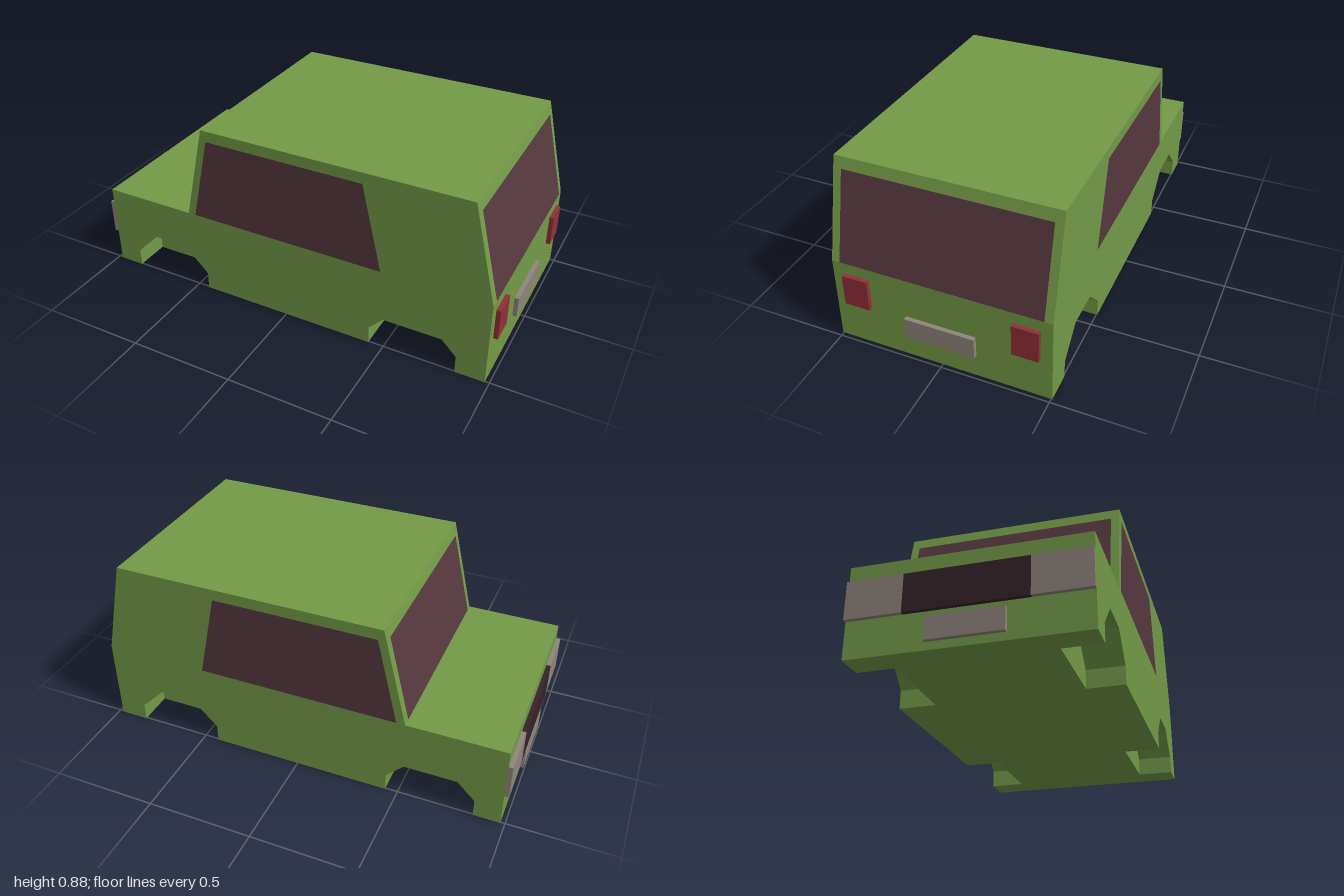
import * as THREE from 'three';
import { mergeGeometries } from 'three/addons/utils/BufferGeometryUtils.js';

const W = 0.505;      // half width of the body
const WELL = 0.335;   // z of the inner wall of the wheel wells
const material = (color) => new THREE.MeshStandardMaterial({ color, flatShading: true });
const shape = (pts) => new THREE.Shape(pts.map(([x, y]) => new THREE.Vector2(x, y)));

function fromPositions(pos) {
  const g = new THREE.BufferGeometry();
  g.setAttribute('position', new THREE.Float32BufferAttribute(pos, 3));
  g.computeVertexNormals();
  return g;
}

// Flat face from an outline, reduced to bare positions so that it can be merged
function flat(pts, z = 0) {
  const g = new THREE.ShapeGeometry(shape(pts)).toNonIndexed().translate(0, 0, z);
  g.deleteAttribute('uv');
  return g;
}

// Wall following an xy line from z0 to z1
function strip(pts, z0, z1) {
  const pos = [];
  for (let i = 0; i < pts.length - 1; i++) {
    const a = pts[i], b = pts[i + 1];
    pos.push(...a, z0, ...b, z0, ...b, z1, ...a, z0, ...b, z1, ...a, z1);
  }
  return fromPositions(pos);
}

// Copy mirrored in z, with the corner order restored
function mirrorZ(g) {
  const p = g.attributes.position, pos = [];
  for (let i = 0; i < p.count; i += 3)
    for (const j of [i, i + 2, i + 1]) pos.push(p.getX(j), p.getY(j), -p.getZ(j));
  return fromPositions(pos);
}

// Four-cornered pane
function quad(a, b, c, d) {
  return fromPositions([...a, ...b, ...c, ...a, ...c, ...d]);
}

export function createModel() {
  const car = new THREE.Group();
  car.name = 'car';
  const paint = material(0x739a47), glass = material(0x56383f), red = material(0x922f37);
  const grey = material(0x8f857b), dark = material(0x35222a);
  glass.side = THREE.DoubleSide;

  const add = (name, geometry, mat) => {
    const mesh = new THREE.Mesh(geometry, mat);
    mesh.name = name;
    car.add(mesh);
    return mesh;
  };

  // Body shell: one half, then mirrored
  const outline = [[0.98, 0], [0.98, 0.41], [0.87, 0.875], [-0.41, 0.875],
    [-0.52, 0.41], [-0.98, 0.41], [-0.98, 0]];
  const arches = [-0.648, 0.635].map((c) => [[-0.207, 0], [-0.207, 0.085], [-0.088, 0.205],
    [0.088, 0.205], [0.207, 0.085], [0.207, 0]].map(([x, y]) => [c + x, y]));

  const floor = [[-0.98, 0], [0.98, 0], [0.98, W]];
  for (const arch of [arches[1], arches[0]]) {
    const x0 = arch[0][0], x1 = arch[5][0];
    floor.push([x1, W], [x1, WELL], [x0, WELL], [x0, W]);
  }
  floor.push([-0.98, W]);

  const half = [
    flat([...outline, ...arches[0], ...arches[1]], W),
    strip(outline, 0, W),
    flat(floor).rotateX(Math.PI / 2),
  ];
  for (const arch of arches) half.push(strip(arch, WELL, W), flat(arch, WELL));
  add('body', mergeGeometries([...half, ...half.map(mirrorZ)]), paint);

  // Side windows
  const e = 0.002, gz = 0.467;
  const sidePane = flat([[-0.48, 0.412], [0.477, 0.412], [0.385, 0.823], [-0.385, 0.823]], W + e);
  add('leftSideWindow', sidePane, glass);
  add('rightSideWindow', mirrorZ(sidePane), glass);

  // Windscreen and rear window lie on the sloping ends of the cabin
  const low = 0.412, high = 0.823;
  const slope = (y) => (y - 0.41) * 0.11 / 0.465;
  const xf = (y) => -0.52 + slope(y) - e, xr = (y) => 0.98 - slope(y) + e;
  add('windscreen', quad([xf(low), low, -gz], [xf(low), low, gz],
    [xf(high), high, gz], [xf(high), high, -gz]), glass);
  add('rearWindow', quad([xr(low), low, gz], [xr(low), low, -gz],
    [xr(high), high, -gz], [xr(high), high, gz]), glass);

  // Raised blocks on both ends: x side, y range, z range
  const block = (name, side, y0, y1, z0, z1, mat) =>
    add(name, new THREE.BoxGeometry(0.02, y1 - y0, z1 - z0), mat)
      .position.set(side * 0.99, (y0 + y1) / 2, (z0 + z1) / 2);

  block('grille', -1, 0.165, 0.335, -0.26, 0.26, dark);
  block('headlightA', -1, 0.165, 0.335, 0.26, W, grey);
  block('headlightB', -1, 0.165, 0.335, -W, -0.26, grey);
  block('frontPlate', -1, 0.035, 0.137, -0.163, 0.163, grey);
  block('tailLightA', 1, 0.205, 0.356, 0.332, 0.452, red);
  block('tailLightB', 1, 0.205, 0.356, -0.452, -0.332, red);
  block('rearPlate', 1, 0.115, 0.216, -0.163, 0.163, grey);

  return car;
}
